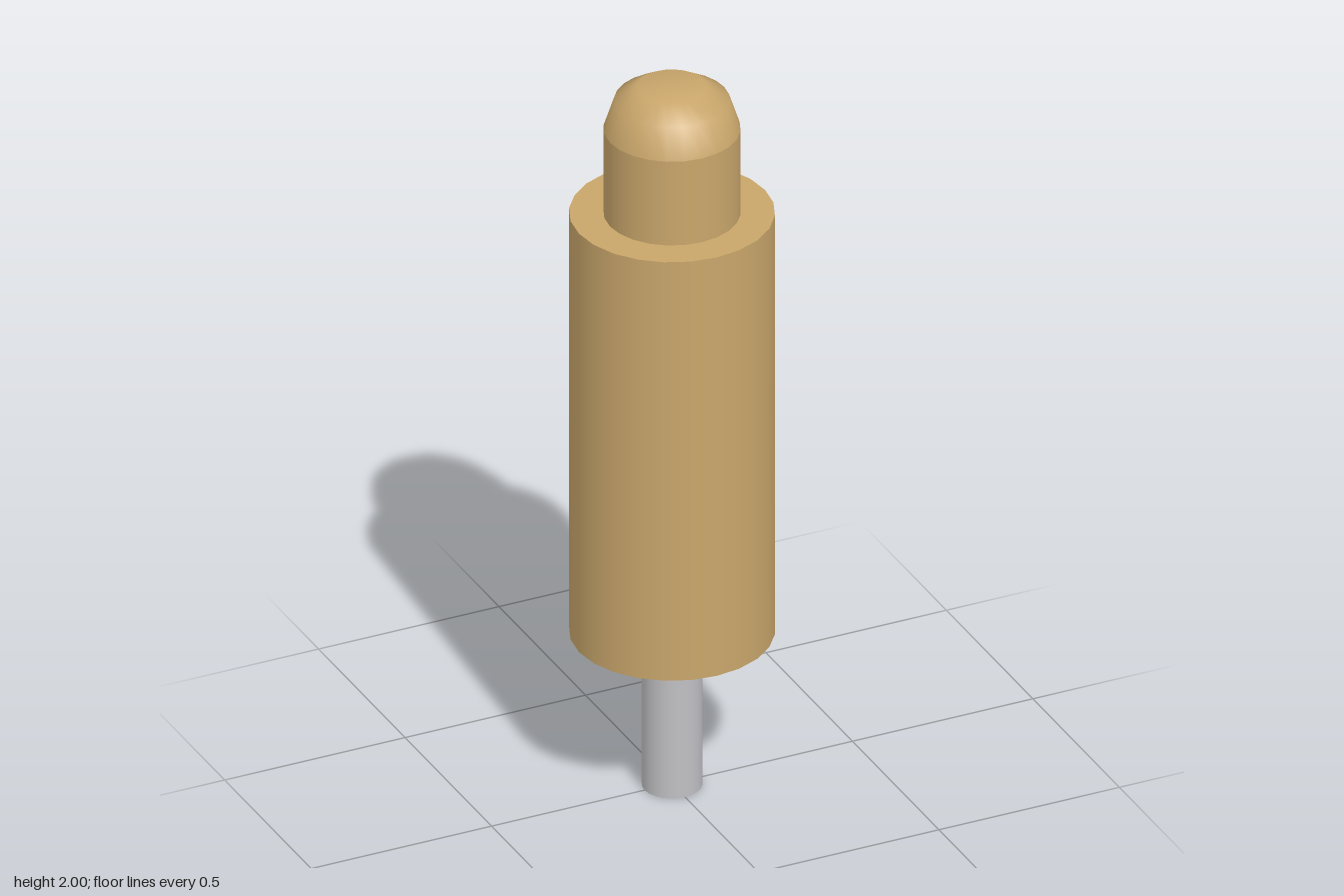
import * as THREE from 'three';

const SIDES = 24;

export function createModel() {
  const model = new THREE.Group();
  const brass = new THREE.MeshStandardMaterial({ color: 0xc9a66b });
  brass.name = 'brass';
  const steel = new THREE.MeshStandardMaterial({ color: 0xc0c0c4 });
  steel.name = 'steel';

  const add = (name, geometry, material) => {
    const mesh = new THREE.Mesh(geometry, material);
    mesh.name = name;
    model.add(mesh);
    return mesh;
  };

  // Upright round part between two heights
  const rod = (name, radius, bottom, top, material, open = false) => {
    const geometry = new THREE.CylinderGeometry(radius, radius, top - bottom, SIDES, 1, open);
    add(name, geometry, material).position.y = (bottom + top) / 2;
  };

  rod('tailPin', 0.076, 0, 0.44, steel);
  rod('barrel', 0.258, 0.44, 1.64, brass);
  rod('plungerShaft', 0.172, 1.64, 1.88, brass, true);

  // Rounded plunger tip with a flat crown
  const tip = [[0.172, 1.88], [0.145, 1.963], [0.086, 2], [0, 2]];
  add('plungerTip', new THREE.LatheGeometry(tip.map(([r, y]) => new THREE.Vector2(r, y)), SIDES), brass);

  return model;
}
